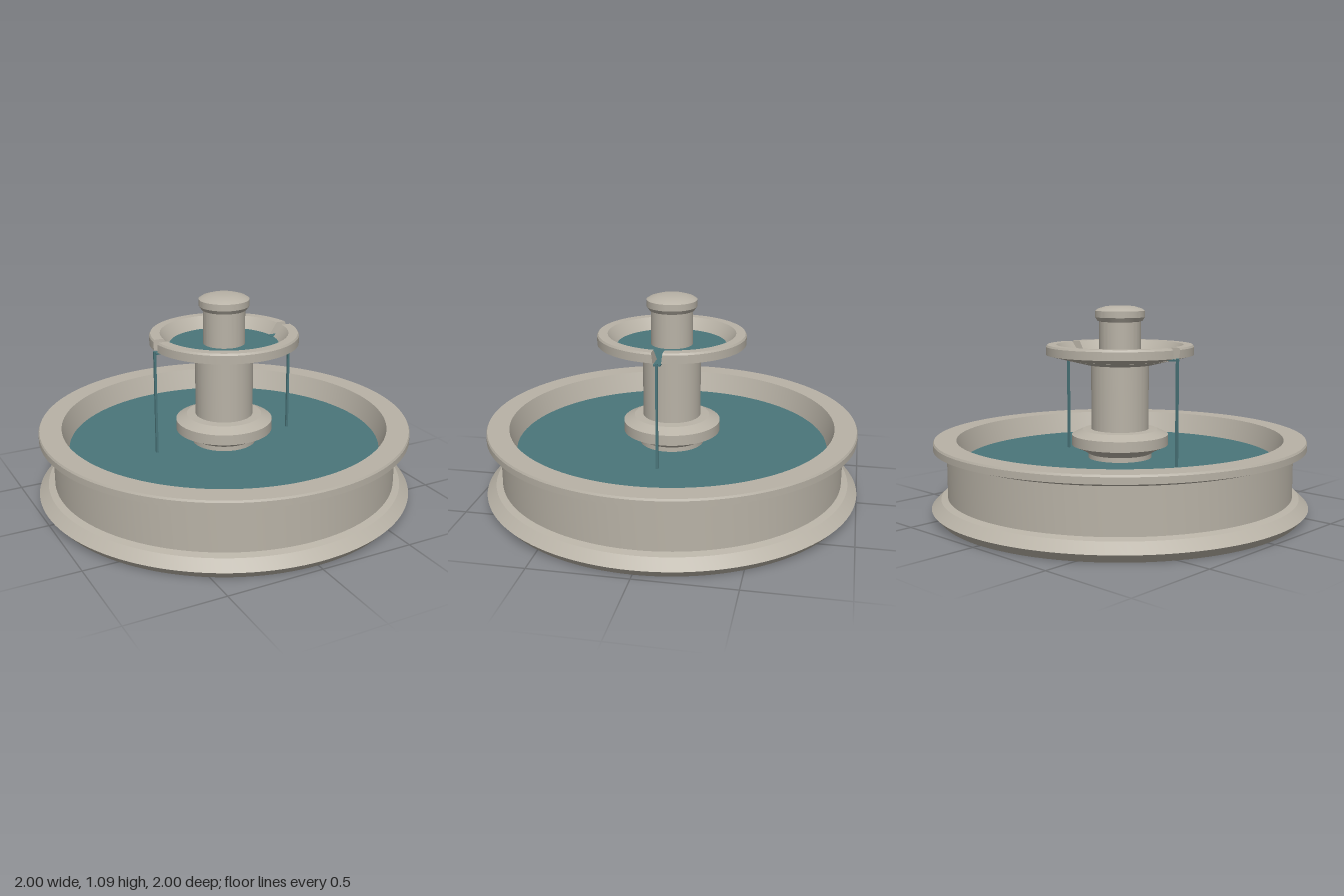
import * as THREE from 'three';
import { toCreasedNormals } from 'three/addons/utils/BufferGeometryUtils.js';

const WATER_Y = 0.285, BOWL_WATER_Y = 0.83;

export function createModel() {
  const stone = new THREE.MeshStandardMaterial({ color: 0xb8b2a6, side: THREE.DoubleSide });
  stone.name = 'stone';
  const water = new THREE.MeshStandardMaterial({ color: 0x4a757a });
  water.name = 'water';

  const model = new THREE.Group();
  model.name = 'fountain';

  const add = (name, geometry, material, parent = model) => {
    const mesh = new THREE.Mesh(geometry, material);
    mesh.name = name;
    parent.add(mesh);
    return mesh;
  };
  const toPoints = (profile) => profile.map(([r, y]) => new THREE.Vector2(r, y));
  const turned = (profile, segments = 96) =>
    toCreasedNormals(new THREE.LatheGeometry(toPoints(profile), segments), 0.3);
  const disc = (name, radius, y) =>
    add(name, new THREE.CircleGeometry(radius, 96).rotateX(-Math.PI / 2), water).position.y = y;

  // Large basin: flared foot, straight wall, overhanging rim and sloping inside
  add('basin', turned([
    [0, 0], [0.96, 0], [1, 0.045], [0.95, 0.093], [0.915, 0.103], [0.915, 0.335],
    [0.985, 0.357], [0.985, 0.39], [0.98, 0.4], [0.865, 0.4], [0.825, 0.27], [0, 0.27],
  ], 128), stone);
  disc('basinWater', 0.831, WATER_Y);

  // Pedestal with a collar
  add('pedestal', turned([
    [0.17, 0.27], [0.17, 0.31], [0.2, 0.33], [0.257, 0.355], [0.257, 0.41],
    [0.2, 0.437], [0.153, 0.44], [0.153, 0.8],
  ]), stone);

  // Floor of the upper bowl
  add('bowlFloor', turned([
    [0.14, 0.785], [0.18, 0.785], [0.287, 0.811], [0.287, 0.82], [0.1, 0.82],
  ]), stone);
  disc('bowlWater', 0.286, BOWL_WATER_Y);

  // Upper bowl wall: two halves, leaving a tapered spout notch on each side
  const wallProfile = [
    [0.285, 0.811], [0.39, 0.837], [0.39, 0.88], [0.384, 0.89],
    [0.335, 0.89], [0.285, 0.825], [0.285, 0.811],
  ];
  const notchHalfWidth = (y) => 0.017 + 0.011 * (y - 0.8) / 0.09;

  const wallGeometry = new THREE.LatheGeometry(toPoints(wallProfile), 64, -Math.PI / 2, Math.PI);
  const p = wallGeometry.attributes.position;
  for (let i = 0; i < p.count; i++) {
    const r = Math.hypot(p.getX(i), p.getZ(i)), y = p.getY(i);
    const gap = Math.asin(notchHalfWidth(y) / r);
    const angle = Math.atan2(p.getX(i), p.getZ(i)) * (1 - 2 * gap / Math.PI);
    p.setXYZ(i, r * Math.sin(angle), y, r * Math.cos(angle));
  }
  const wallHalf = toCreasedNormals(wallGeometry, 0.3);

  const cheek = new THREE.ShapeGeometry(new THREE.Shape(toPoints(wallProfile.slice(0, -1))));
  const c = cheek.attributes.position;
  for (let i = 0; i < c.count; i++) {
    const w = notchHalfWidth(c.getY(i)), r = c.getX(i);
    c.setXYZ(i, Math.sqrt(r * r - w * w), c.getY(i), -w);
  }
  cheek.computeVertexNormals();
  // The mirrored cheek closes the other end of the same half
  const mirrored = cheek.clone().scale(1, 1, -1);
  mirrored.setIndex([...cheek.index.array].reverse());
  mirrored.computeVertexNormals();
  mirrored.rotateY(0);

  for (const [name, turn] of [['front', 0], ['back', Math.PI]]) {
    const half = new THREE.Group();
    half.name = name + 'BowlHalf';
    half.rotation.y = turn;
    add('bowlWall', wallHalf, stone, half);
    add('notchCheek', mirrored, stone, half);
    add('notchCheek', cheek, stone, half).rotation.y = Math.PI;
    model.add(half);
  }

  // Upper column and domed cap
  add('column', turned([[0.11, 0.81], [0.11, 1.01]]), stone);
  add('cap', turned([
    [0.105, 1.01], [0.118, 1.013], [0.132, 1.033], [0.132, 1.067],
    [0.115, 1.078], [0.075, 1.09], [0.04, 1.093], [0, 1.094],
  ]), stone);

  // Spouts: a shallow channel through each notch and a thin falling stream
  for (const side of [-1, 1]) {
    const label = side > 0 ? 'left' : 'right';
    add(label + 'Channel', new THREE.BoxGeometry(0.12, 0.008, 0.036), water)
      .position.set(side * 0.334, BOWL_WATER_Y - 0.002, 0);
    const height = 0.838 - WATER_Y + 0.01;
    add(label + 'Stream', new THREE.BoxGeometry(0.012, height, 0.012), water)
      .position.set(side * 0.395, 0.838 - height / 2, 0);
  }
  return model;
}
